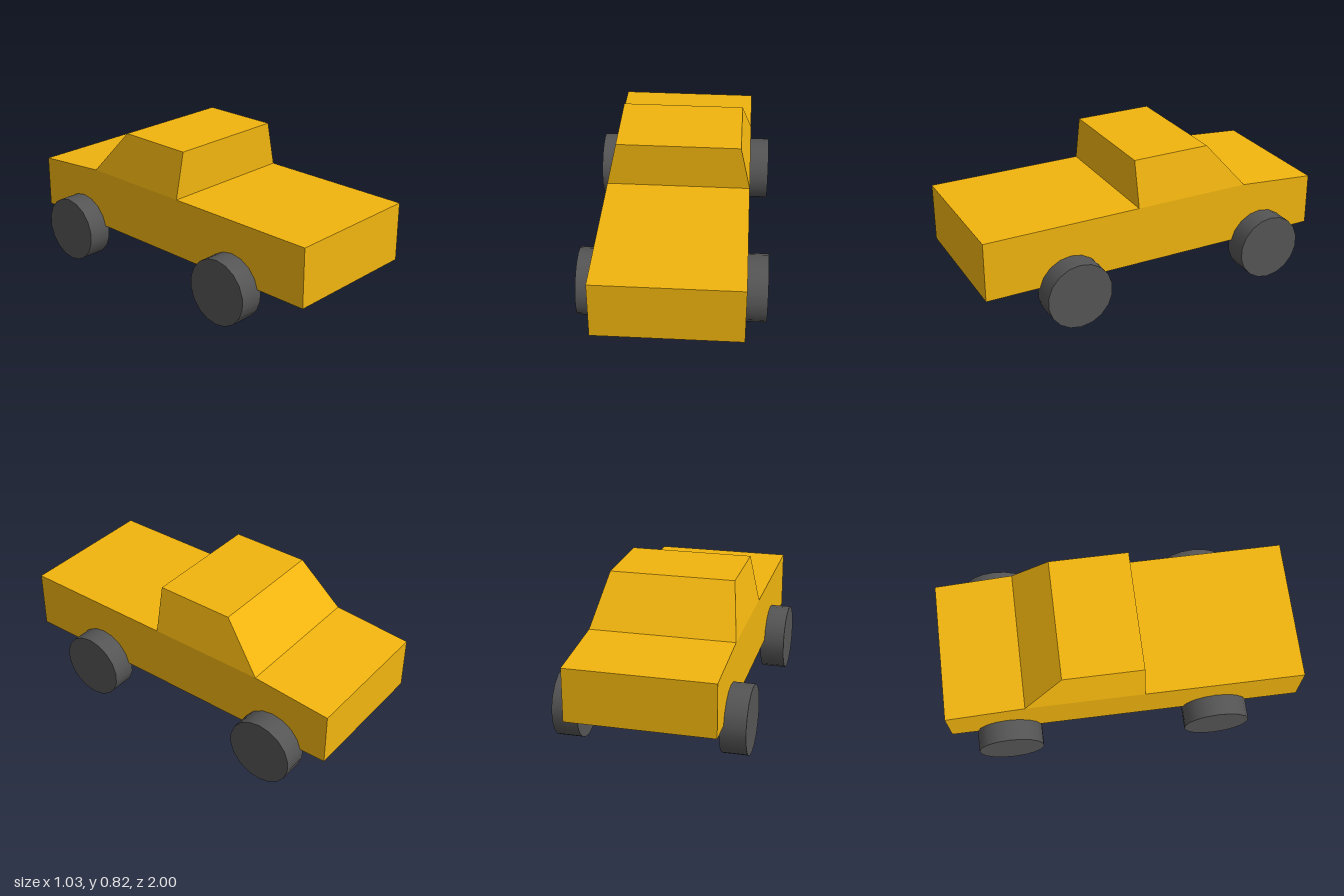
import * as THREE from 'three';

const HALF_WIDTH = 0.398;
const BELT = 0.558;
const ROOF = 0.817;

// Side profile as [z, y] points, extruded across the full width in x
function profileSolid(points) {
  const shape = new THREE.Shape(points.map(([z, y]) => new THREE.Vector2(z, y)));
  const geometry = new THREE.ExtrudeGeometry(shape, { depth: HALF_WIDTH * 2, bevelEnabled: false });
  geometry.translate(0, 0, -HALF_WIDTH);
  geometry.rotateY(-Math.PI / 2);
  return geometry;
}

export function createModel() {
  const model = new THREE.Group();
  model.name = 'pickupTruck';

  const paint = new THREE.MeshStandardMaterial({ color: 0xf2b50f, flatShading: true });
  const rubber = new THREE.MeshStandardMaterial({ color: 0x555555 });

  const add = (name, geometry, material) => {
    const mesh = new THREE.Mesh(geometry, material);
    mesh.name = name;
    model.add(mesh);
    return mesh;
  };

  // Lower body with a flat bed and a slightly sloping hood
  add('body', profileSolid([
    [-1, 0.225], [1, 0.225], [1, BELT], [-0.555, BELT], [-1, 0.52],
  ]), paint);

  // Cabin: raked windscreen, upright back, sides leaning in towards the roof
  const cabin = profileSolid([[-0.555, BELT], [0.11, BELT], [0.11, ROOF], [-0.335, ROOF]]);
  const pos = cabin.attributes.position;
  for (let i = 0; i < pos.count; i++) {
    if (pos.getY(i) > BELT + 0.01) pos.setX(i, Math.sign(pos.getX(i)) * 0.343);
  }
  cabin.computeVertexNormals();
  add('cabin', cabin, paint);

  // Four wheels on horizontal axles
  const wheel = new THREE.CylinderGeometry(0.1865, 0.1865, 0.138, 18, 1, false, Math.PI / 2);
  wheel.rotateZ(Math.PI / 2);
  for (const [end, z] of [['bed', 0.517], ['hood', -0.67]]) {
    for (const [side, sign] of [['Left', 1], ['Right', -1]]) {
      add(`${end}Wheel${side}`, wheel, rubber).position.set(sign * 0.445, 0.1865, z);
    }
  }

  return model;
}
